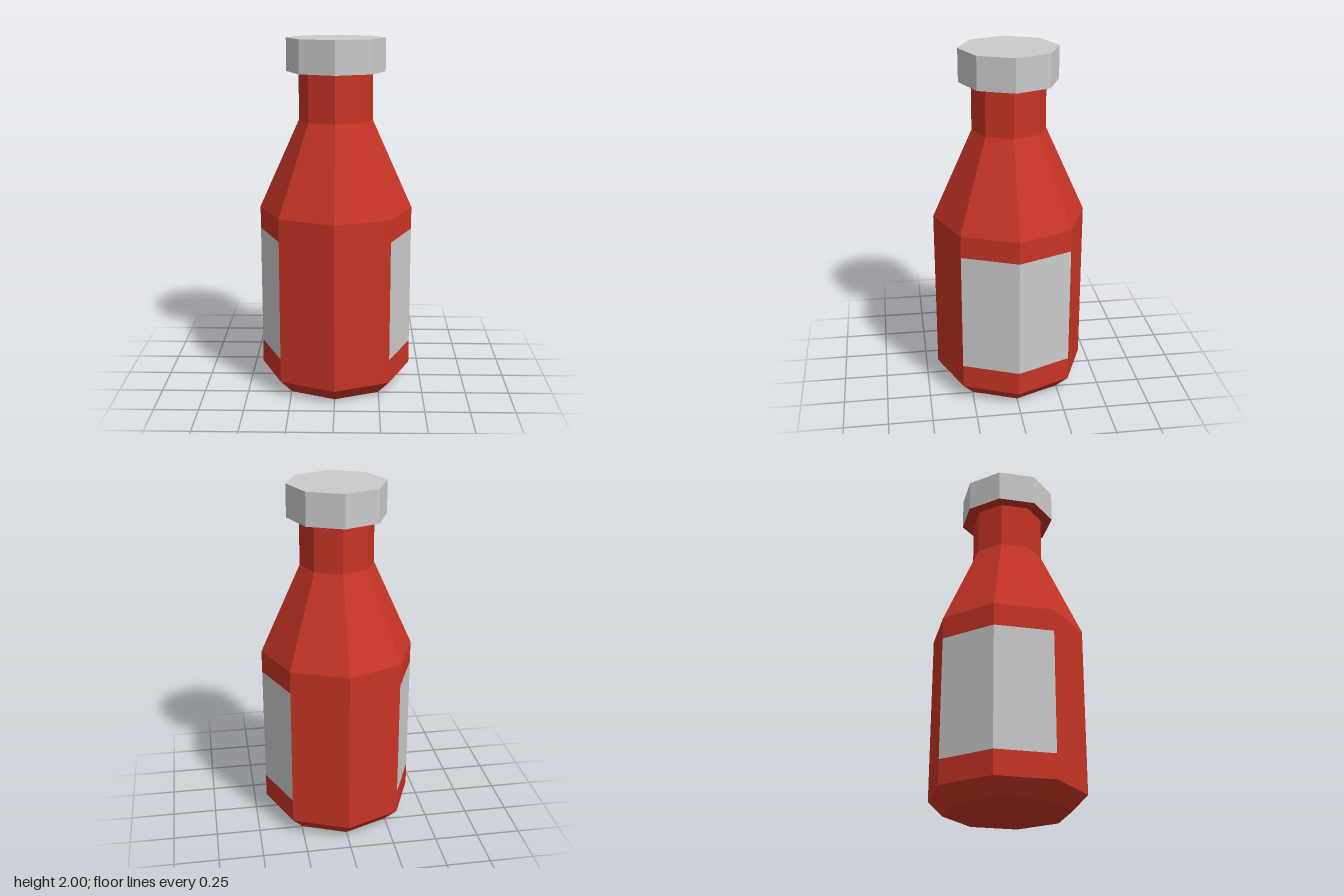
import * as THREE from 'three';

const SIDES = 8;
const BODY_R = 0.435, LABEL_BOTTOM = 0.222, LABEL_TOP = 0.912;
const CAP_BOTTOM = 1.815, CAP_R = 0.277;

export function createModel() {
  const group = new THREE.Group();
  const red = new THREE.MeshStandardMaterial({ color: 0xc73425, flatShading: true });
  const grey = new THREE.MeshStandardMaterial({ color: 0xcccccc, flatShading: true });

  const add = (name, geometry, material) => {
    const mesh = new THREE.Mesh(geometry, material);
    mesh.name = name;
    group.add(mesh);
    return mesh;
  };
  // Eight-sided turned part, profile listed from bottom to top
  const turned = (name, profile, material) =>
    add(name, new THREE.LatheGeometry(profile.map(([r, y]) => new THREE.Vector2(r, y)), SIDES), material);

  // Bottle base with bevelled foot
  turned('base', [[0, 0], [0.35, 0], [BODY_R, 0.085], [BODY_R, LABEL_BOTTOM]], red);

  // Middle band: red front and back panels, flush labels on both sides
  const names = ['frontPanel', 'leftLabel', 'backPanel', 'rightLabel'];
  names.forEach((name, i) => {
    const panel = new THREE.CylinderGeometry(BODY_R, BODY_R, LABEL_TOP - LABEL_BOTTOM, 2, 1, true,
      (i - 0.5) * Math.PI / 2, Math.PI / 2);
    add(name, panel, i % 2 ? grey : red).position.y = (LABEL_TOP + LABEL_BOTTOM) / 2;
  });

  // Shoulder, neck and the rim beneath the cap
  turned('shoulderAndNeck', [[BODY_R, LABEL_TOP], [BODY_R, 1.04], [0.208, 1.545],
    [0.208, CAP_BOTTOM], [CAP_R, CAP_BOTTOM]], red);

  // Cap
  turned('cap', [[CAP_R, CAP_BOTTOM], [CAP_R, 2], [0, 2]], grey);

  return group;
}
